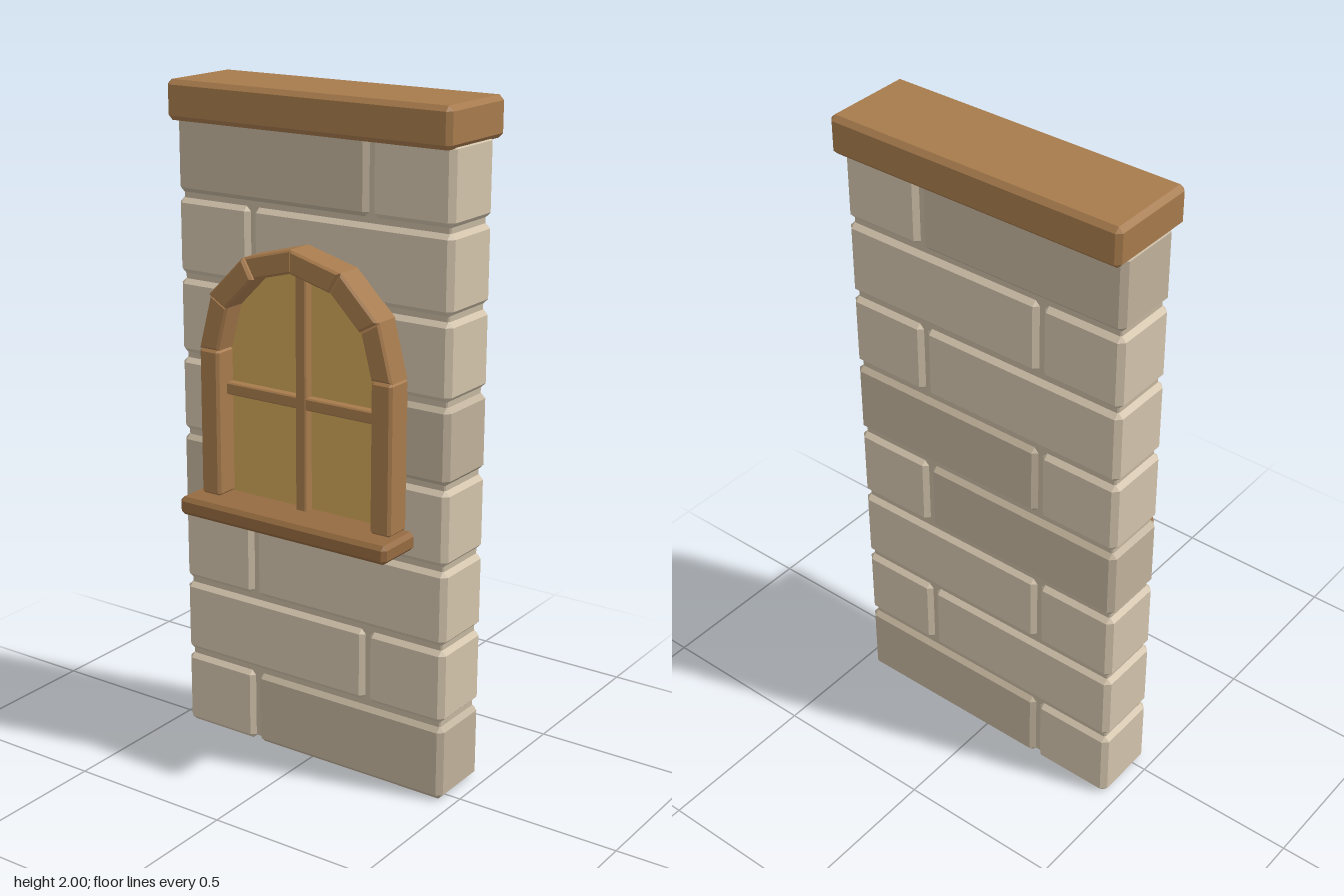
import * as THREE from 'three';
import { ConvexGeometry } from 'three/addons/geometries/ConvexGeometry.js';

const material = (color, extra = {}) =>
  new THREE.MeshStandardMaterial({ color, flatShading: true, ...extra });

// Box given by its limits, with every edge chamfered by c
function chamferBox(x0, x1, y0, y1, z0, z1, c) {
  const centre = [(x0 + x1) / 2, (y0 + y1) / 2, (z0 + z1) / 2];
  const half = [(x1 - x0) / 2, (y1 - y0) / 2, (z1 - z0) / 2];
  const points = [];
  for (const sx of [-1, 1]) for (const sy of [-1, 1]) for (const sz of [-1, 1]) {
    const s = [sx, sy, sz];
    for (let full = 0; full < 3; full++) {
      const p = s.map((v, i) => centre[i] + v * (half[i] - (i === full ? 0 : c)));
      points.push(new THREE.Vector3(...p));
    }
  }
  return new ConvexGeometry(points);
}

export function createModel() {
  const model = new THREE.Group();
  model.name = 'wallWithWindow';

  const stoneLight = material(0xd2c3ab);
  const stoneDark = material(0xc0b29b);
  const mortar = material(0xc4b69f);
  const wood = material(0xa67a4c);
  const woodDark = material(0x946a40);
  const glass = material(0xcda456, { side: THREE.DoubleSide });

  const add = (parent, name, geometry, mat) => {
    const mesh = new THREE.Mesh(geometry, mat);
    mesh.name = name;
    parent.add(mesh);
    return mesh;
  };
  const box = (parent, name, limits, c, mat) =>
    add(parent, name, chamferBox(...limits, c), mat);

  // Courses of one long and one short brick, the joint swapping sides
  const wall = new THREE.Group();
  wall.name = 'wall';
  model.add(wall);
  const pitch = 0.2385, brickHeight = 0.226, end = 0.463, joint = 0.2, gap = 0.006;
  const darkCourses = [0, 3, 4, 7];
  for (let i = 0; i < 8; i++) {
    const y = i === 0 ? 0 : 0.005 + i * pitch;
    const top = 0.005 + i * pitch + brickHeight;
    const side = i % 2 === 0 ? 1 : -1; // end of the wall holding the long brick
    const split = -side * joint;
    const brick = (name, a, b, mat) =>
      box(wall, name, [-0.05, 0.16, y, top, Math.min(a, b), Math.max(a, b)], 0.016, mat);
    brick('longBrick', side * end, split + side * gap,
      darkCourses.includes(i) ? stoneDark : stoneLight);
    brick('shortBrick', split - side * gap, -side * end, stoneLight);
  }
  // Mortar core showing in the joints
  box(wall, 'mortar', [-0.036, 0.146, 0.012, 1.9, -0.449, 0.449], 0.004, mortar);

  // Coping on top of the wall
  box(model, 'coping', [-0.085, 0.2, 1.885, 2, -0.47, 0.47], 0.014, wood);

  // Arched window on the -x face
  const windowGroup = new THREE.Group();
  windowGroup.name = 'window';
  model.add(windowGroup);
  const outer = 0.33, inner = 0.262, spring = 1.25, back = -0.04;

  box(windowGroup, 'sill', [-0.2, back, 0.755, 0.81, -0.36, 0.36], 0.012, woodDark);
  for (const s of [-1, 1]) {
    const [z0, z1] = s > 0 ? [inner, outer] : [-outer, -inner];
    box(windowGroup, 'jamb', [-0.13, back, 0.808, spring, z0, z1], 0.008, wood);
  }

  // Six arch blocks of 30 degrees each, some standing slightly proud
  const fronts = [0.13, 0.138, 0.142, 0.132, 0.14, 0.13];
  const bevel = 0.007;
  fronts.forEach((front, i) => {
    const a0 = (i * Math.PI) / 6, a1 = ((i + 1) * Math.PI) / 6;
    const at = (r, a) => new THREE.Vector2(r * Math.cos(a), spring + r * Math.sin(a));
    const block = new THREE.Shape([at(inner, a0), at(outer, a0), at(outer, a1), at(inner, a1)]);
    const geometry = new THREE.ExtrudeGeometry(block, {
      depth: front + back - 2 * bevel,
      bevelEnabled: true, bevelThickness: bevel, bevelSize: bevel,
      bevelOffset: -bevel, bevelSegments: 1,
    });
    geometry.translate(0, 0, -back + bevel);
    geometry.rotateY(-Math.PI / 2);
    add(windowGroup, 'archBlock', geometry, wood);
  });

  // Glass pane with a round head
  const r = inner + 0.01;
  const pane = new THREE.Shape();
  pane.moveTo(-r, 0.8);
  pane.lineTo(r, 0.8);
  pane.lineTo(r, spring);
  for (let i = 1; i <= 6; i++) {
    const a = (i * Math.PI) / 6;
    pane.lineTo(r * Math.cos(a), spring + r * Math.sin(a));
  }
  const paneGeometry = new THREE.ShapeGeometry(pane);
  paneGeometry.rotateY(-Math.PI / 2);
  add(windowGroup, 'pane', paneGeometry, glass).position.x = -0.06;

  // Glazing bars
  box(windowGroup, 'uprightBar', [-0.09, -0.05, 0.8, 1.52, -0.018, 0.018], 0.004, wood);
  box(windowGroup, 'crossBar', [-0.088, -0.05, 1.112, 1.148, -0.27, 0.27], 0.004, wood);

  return model;
}
